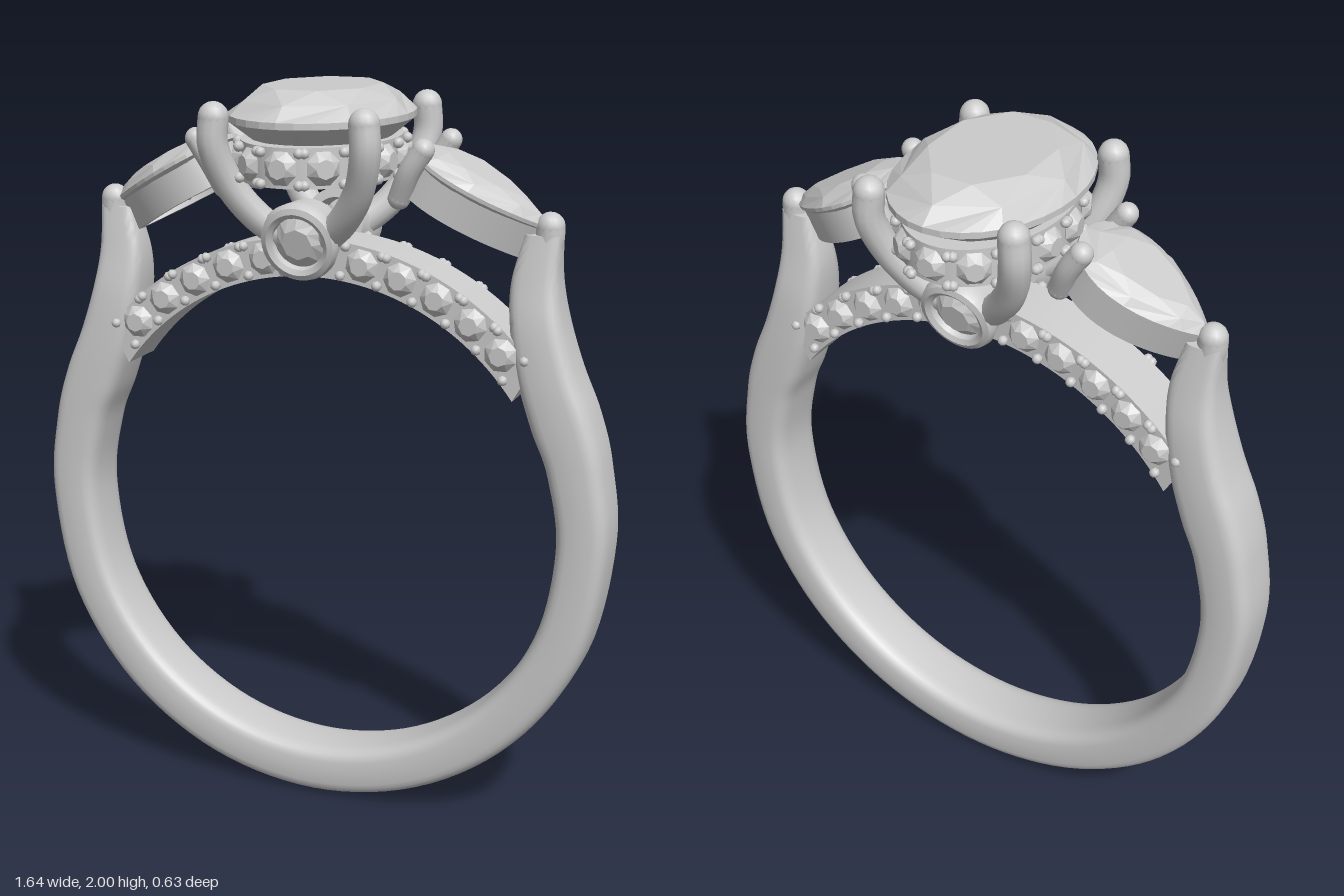
import * as THREE from 'three';
import { toCreasedNormals } from 'three/addons/utils/BufferGeometryUtils.js';

const V = (x, y, z) => new THREE.Vector3(x, y, z);
const UP = V(0, 1, 0);
const metal = new THREE.MeshStandardMaterial({ color: 0xcccccc });
const facet = new THREE.MeshStandardMaterial({ color: 0xcccccc, flatShading: true });

function add(parent, name, geometry, material = metal) {
  const mesh = new THREE.Mesh(geometry, material);
  mesh.name = name;
  parent.add(mesh);
  return mesh;
}

const oval = (a, b) => t => [a * Math.cos(t), b * Math.sin(t)];
// Teardrop with its point at +x
const pear = (a, b) => t => [a * Math.cos(t), 1.27 * b * Math.sin(t) * Math.pow(Math.abs(Math.sin(t / 2)), 0.8)];

// Faceted stone: loops [count, scale, height, angle offset] from top to bottom, stitched by angle
function gem(outline, loops) {
  const pos = [];
  const point = ([n, s, y, off], i) => {
    const [x, z] = outline(((i + off) / n) * Math.PI * 2);
    return [x * s, y, z * s];
  };
  for (let k = 0; k < loops.length - 1; k++) {
    const A = loops[k], B = loops[k + 1];
    const na = A[0] === 1 ? 0 : A[0], nb = B[0] === 1 ? 0 : B[0];
    let i = 0, j = 0;
    while (i < na || j < nb) {
      const ta = i < na ? (i + 1 + A[3]) / na : Infinity;
      const tb = j < nb ? (j + 1 + B[3]) / nb : Infinity;
      const a = point(A, i), b = point(B, j);
      if (ta < tb) pos.push(...a, ...point(A, ++i), ...b);
      else pos.push(...a, ...point(B, ++j), ...b);
    }
  }
  const g = new THREE.BufferGeometry();
  g.setAttribute('position', new THREE.Float32BufferAttribute(pos, 3));
  g.computeVertexNormals();
  return g;
}

// Upright wall following an outline, open in the middle
function wall(outline, inner, y0, y1) {
  const pts = s => Array.from({ length: 56 }, (_, i) => {
    const [x, z] = outline((i / 56) * Math.PI * 2);
    return new THREE.Vector2(x * s, z * s);
  });
  const shape = new THREE.Shape(pts(1));
  shape.holes.push(new THREE.Path(pts(inner)));
  const g = new THREE.ExtrudeGeometry(shape, { depth: y1 - y0, bevelEnabled: false });
  g.rotateX(-Math.PI / 2).translate(0, y0, 0);
  return toCreasedNormals(g, 0.6);
}

// Round wire with ball ends
function prong(parent, name, points, r) {
  const g = new THREE.Group();
  g.name = name;
  parent.add(g);
  add(g, name + 'Wire', new THREE.TubeGeometry(new THREE.CatmullRomCurve3(points), 20, r, 12));
  for (const p of [points[0], points[points.length - 1]])
    add(g, name + 'End', new THREE.SphereGeometry(r, 14, 10)).position.copy(p);
}

// Small round stone facing dir, with four grains around it
const smallGem = gem(oval(0.046, 0.046), [[1, 0, 0.022, 0], [8, 0.55, 0.022, 0], [8, 1, 0, 0.5], [1, 0, -0.035, 0]]);
const grain = new THREE.SphereGeometry(0.014, 8, 6);
function paveStone(parent, p, dir, along) {
  const g = new THREE.Group();
  g.name = 'paveStone';
  const side = along.clone().cross(dir);
  g.matrixAutoUpdate = true;
  g.quaternion.setFromRotationMatrix(new THREE.Matrix4().makeBasis(along, dir, side.clone()));
  g.position.copy(p);
  add(g, 'smallStone', smallGem, facet);
  for (const sx of [-1, 1]) for (const sz of [-1, 1])
    add(g, 'grain', grain).position.set(sx * 0.052, 0.006, -sz * 0.04);
  parent.add(g);
}

// Band and shoulders: one sweep between an inner and an outer rail
function bandGeometry() {
  const half = [];
  for (const d of [-90, -67.5, -45, -22.5, 0]) {
    const c = Math.cos(d * Math.PI / 180), s = Math.sin(d * Math.PI / 180);
    half.push([0.68 * c, 0.82 + 0.68 * s, 0.82 * c, 0.82 + 0.82 * s, 0.095]);
  }
  half.push([0.65, 1.02, 0.8, 1.04, 0.095], [0.602, 1.14, 0.763, 1.18, 0.094], [0.56, 1.27, 0.713, 1.3, 0.09],
    [0.535, 1.4, 0.675, 1.42, 0.08], [0.53, 1.52, 0.656, 1.53, 0.058], [0.56, 1.645, 0.655, 1.645, 0.035]);
  const all = [...half.slice(1).reverse().map(([a, b, c, d, w]) => [-a, b, -c, d, w]), ...half];
  const inner = new THREE.CatmullRomCurve3(all.map(s => V(s[0], s[1], s[4])), false, 'catmullrom');
  const outer = new THREE.CatmullRomCurve3(all.map(s => V(s[2], s[3], s[4])), false, 'catmullrom');
  const N = 140, M = 28, pos = [], idx = [];
  const soft = v => Math.sign(v) * Math.pow(Math.abs(v), 0.5);
  for (let i = -1; i <= N + 1; i++) {
    const t = Math.min(Math.max(i / N, 0), 1), k = i < 0 || i > N ? 0 : 1;
    const a = inner.getPoint(t), b = outer.getPoint(t);
    for (let j = 0; j < M; j++) {
      const th = (j / M) * Math.PI * 2;
      const p = a.clone().lerp(b, 0.5 + 0.5 * k * soft(Math.cos(th)));
      pos.push(p.x, p.y, k * a.z * soft(Math.sin(th)));
    }
  }
  for (let i = 0; i < N + 2; i++) for (let j = 0; j < M; j++) {
    const a = i * M + j, b = i * M + (j + 1) % M;
    idx.push(a, a + M, b, b, a + M, b + M);
  }
  const g = new THREE.BufferGeometry();
  g.setAttribute('position', new THREE.Float32BufferAttribute(pos, 3));
  g.setIndex(idx);
  return toCreasedNormals(g, 0.7);
}

export function createModel() {
  const ring = new THREE.Group();
  ring.name = 'ring';
  add(ring, 'band', bandGeometry());

  // Arch that closes the finger hole, with stones on front and back
  const arch = new THREE.Shape();
  arch.absarc(0, 0.82, 0.785, 0.68, Math.PI - 0.68, false);
  arch.absarc(0, 0.82, 0.682, Math.PI - 0.62, 0.62, true);
  const archGeo = new THREE.ExtrudeGeometry(arch, { depth: 0.15, bevelEnabled: false, curveSegments: 48 });
  add(ring, 'arch', toCreasedNormals(archGeo.translate(0, 0, -0.075), 0.6));
  for (const f of [-1, 1]) for (const s of [-1, 1]) for (let k = 0; k < 5; k++) {
    const a = s * (0.19 + 0.15 * k);
    paveStone(ring, V(0.735 * Math.sin(a), 0.82 + 0.735 * Math.cos(a), f * 0.077), V(0, 0, f), V(Math.cos(a), -Math.sin(a), 0));
  }

  // Centre stone
  add(ring, 'centreStone', gem(oval(0.235, 0.315), [[1, 0, 2, 0], [8, 0.64, 2, 0.5], [8, 0.86, 1.968, 0],
    [32, 1, 1.932, 0], [32, 1, 1.915, 0], [16, 0.62, 1.84, 0], [8, 0.3, 1.775, 0.5], [1, 0, 1.725, 0]]), facet);

  // Halo below the centre stone
  add(ring, 'haloRail', wall(oval(0.2, 0.285), 0.8, 1.765, 1.868));
  const ellipse = new THREE.EllipseCurve(0, 0, 0.2, 0.285, Math.PI / 2, Math.PI * 2.5);
  for (let i = 0; i < 14; i++) {
    const p = ellipse.getPointAt(i / 14), q = ellipse.getTangentAt(i / 14);
    paveStone(ring, V(p.x, 1.816, p.y), V(q.y, 0, -q.x), V(q.x, 0, q.y));
  }

  // Four centre prongs
  for (const sx of [-1, 1]) for (const sz of [-1, 1])
    prong(ring, 'centreProng', [V(sx * 0.205, 1.93, sz * 0.238), V(sx * 0.208, 1.86, sz * 0.238),
      V(sx * 0.18, 1.76, sz * 0.205), V(sx * 0.12, 1.67, sz * 0.165), V(sx * 0.05, 1.61, sz * 0.125)], 0.04);

  // Round bezels at the front and back of the arch
  const profile = [[0.06, -0.09], [0.085, -0.09], [0.1, -0.03], [0.107, 0], [0.1, 0.018], [0.085, 0.024], [0.072, 0.016], [0.066, -0.01], [0.06, -0.09]]
    .map(p => new THREE.Vector2(...p));
  for (const f of [-1, 1]) {
    const bezel = new THREE.Group();
    bezel.name = 'bezel';
    bezel.position.set(0, 1.61, f * 0.165);
    bezel.quaternion.setFromUnitVectors(UP, V(0, -0.23, f * 0.97).normalize());
    add(bezel, 'bezelRim', toCreasedNormals(new THREE.LatheGeometry(profile, 36), 0.7));
    add(bezel, 'bezelStone', gem(oval(0.07, 0.07), [[1, 0, 0.02, 0], [8, 0.6, 0.02, 0], [16, 1, 0, 0], [1, 0, -0.06, 0]]), facet);
    ring.add(bezel);
  }

  // Pear-shaped side stones, each in a tilted open setting
  for (const s of [1, -1]) {
    const half = new THREE.Group();
    half.name = s > 0 ? 'leftSide' : 'rightSide';
    half.rotation.y = s > 0 ? 0 : Math.PI;
    const setting = new THREE.Group();
    setting.name = 'pearSetting';
    setting.position.set(0.43, 1.742, 0);
    setting.rotation.z = -0.5;
    half.add(setting);
    add(setting, 'pearWall', wall(pear(0.19, 0.118), 0.82, -0.085, 0.008));
    add(setting, 'pearStone', gem(pear(0.2, 0.13), [[1, 0, 0.055, 0], [8, 0.6, 0.055, 0.5], [8, 0.84, 0.04, 0],
      [32, 1, 0.02, 0], [32, 1, 0.01, 0], [8, 0.5, -0.045, 0.5], [1, 0, -0.08, 0]]), facet);
    for (const z of [-1, 1])
      prong(setting, 'pearProng', [V(-0.155, 0.045, z * 0.112), V(-0.16, -0.02, z * 0.11), V(-0.155, -0.1, z * 0.09)], 0.03);
    prong(half, 'shoulderClaw', [V(0.615, 1.6, 0), V(0.622, 1.64, 0), V(0.622, 1.665, 0)], 0.038);
    ring.add(half);
  }
  return ring;
}
